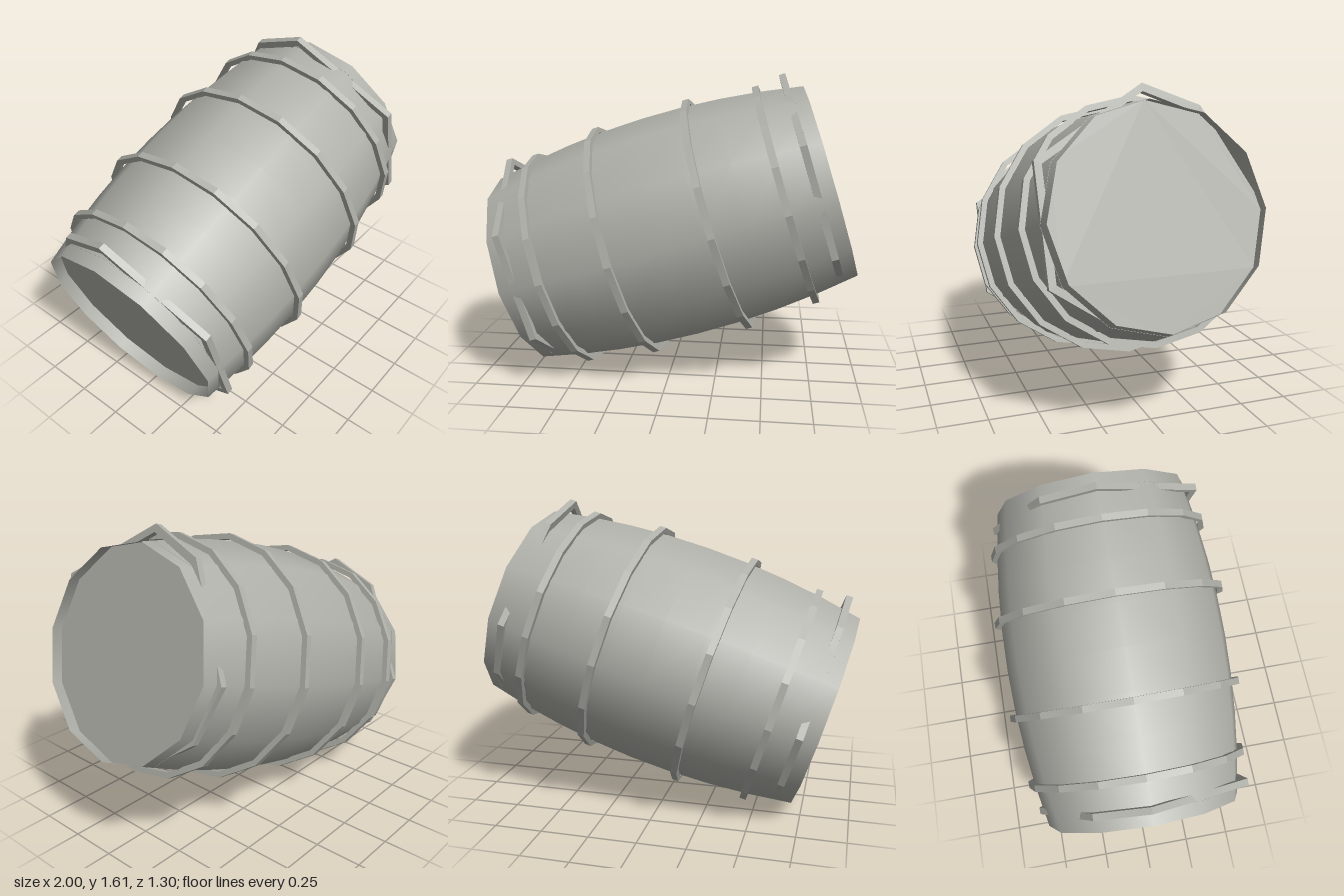
import * as THREE from 'three';

const HALF = 0.88, END_R = 0.532, MID_R = 0.62;
const TILT = 0.303;

// barrel radius at a distance along its axis
const radiusAt = (s) => MID_R - (MID_R - END_R) * (s / HALF) ** 2;

// polar corners [degrees from the top towards +z, radius] to outline points
const outline = (corners, inset = 0) => corners.map(([deg, r]) => {
  const t = THREE.MathUtils.degToRad(deg);
  return new THREE.Vector2((r - inset) * Math.cos(t), (r - inset) * Math.sin(t));
});

const regular = (n, r) => Array.from({ length: n }, (_, i) => [(i * 360) / n, r]);

// turns a flat outline so that it lies across the barrel axis (local y)
const across = new THREE.Matrix4().makeBasis(
  new THREE.Vector3(-1, 0, 0), new THREE.Vector3(0, 0, 1), new THREE.Vector3(0, 1, 0));

export function createModel() {
  const model = new THREE.Group();
  const barrel = new THREE.Group();
  barrel.name = 'barrel';
  model.add(barrel);

  const grey = new THREE.MeshStandardMaterial({ color: 0xb0b0aa, side: THREE.DoubleSide });
  grey.name = 'plain grey';

  const add = (name, geometry, s = 0) => {
    const mesh = new THREE.Mesh(geometry, grey);
    mesh.name = name;
    mesh.position.y = s;
    barrel.add(mesh);
  };

  const addHoop = (name, corners, s, width, thickness) => {
    const shape = new THREE.Shape(outline(corners));
    shape.holes.push(new THREE.Path(outline(corners, thickness)));
    const geometry = new THREE.ExtrudeGeometry(shape, { depth: width, bevelEnabled: false });
    geometry.translate(0, 0, -width / 2).applyMatrix4(across);
    add(name, geometry, s);
  };

  // bulging wall, open at both rims
  const profile = [];
  for (let i = 0; i <= 8; i++) {
    const s = -HALF + (i / 8) * 2 * HALF;
    profile.push(new THREE.Vector2(radiusAt(s), s));
  }
  add('wall', new THREE.LatheGeometry(profile, 12));

  // recessed end lids; the upper one has a corner cut off
  const lidAt = 0.81;
  const lidCorners = regular(12, radiusAt(lidAt));
  const cutCorners = lidCorners.filter(([deg]) => deg !== 300);
  add('upperLid', new THREE.ShapeGeometry(new THREE.Shape(outline(cutCorners))).applyMatrix4(across), lidAt);
  add('lowerLid', new THREE.ShapeGeometry(new THREE.Shape(outline(lidCorners))).applyMatrix4(across), -lidAt);

  // irregular end hoops, mostly sunk into the wall
  const endCorners = [[0, 0.625], [62, 0.617], [118, 0.6], [150, 0.535], [180, 0.53],
    [210, 0.53], [238, 0.56], [270, 0.57], [331, 0.587]];

  for (const side of [-1, 1]) {
    addHoop('middleHoop', regular(16, 0.648), side * 0.262, 0.035, 0.03);
    addHoop('outerHoop', regular(16, 0.606), side * 0.637, 0.035, 0.03);
    addHoop('endHoop', endCorners, side * 0.79, 0.035, 0.04);
  }

  // lay the barrel down with its +x end raised
  barrel.rotation.z = TILT - Math.PI / 2;
  barrel.position.y = 0.77;
  return model;
}
